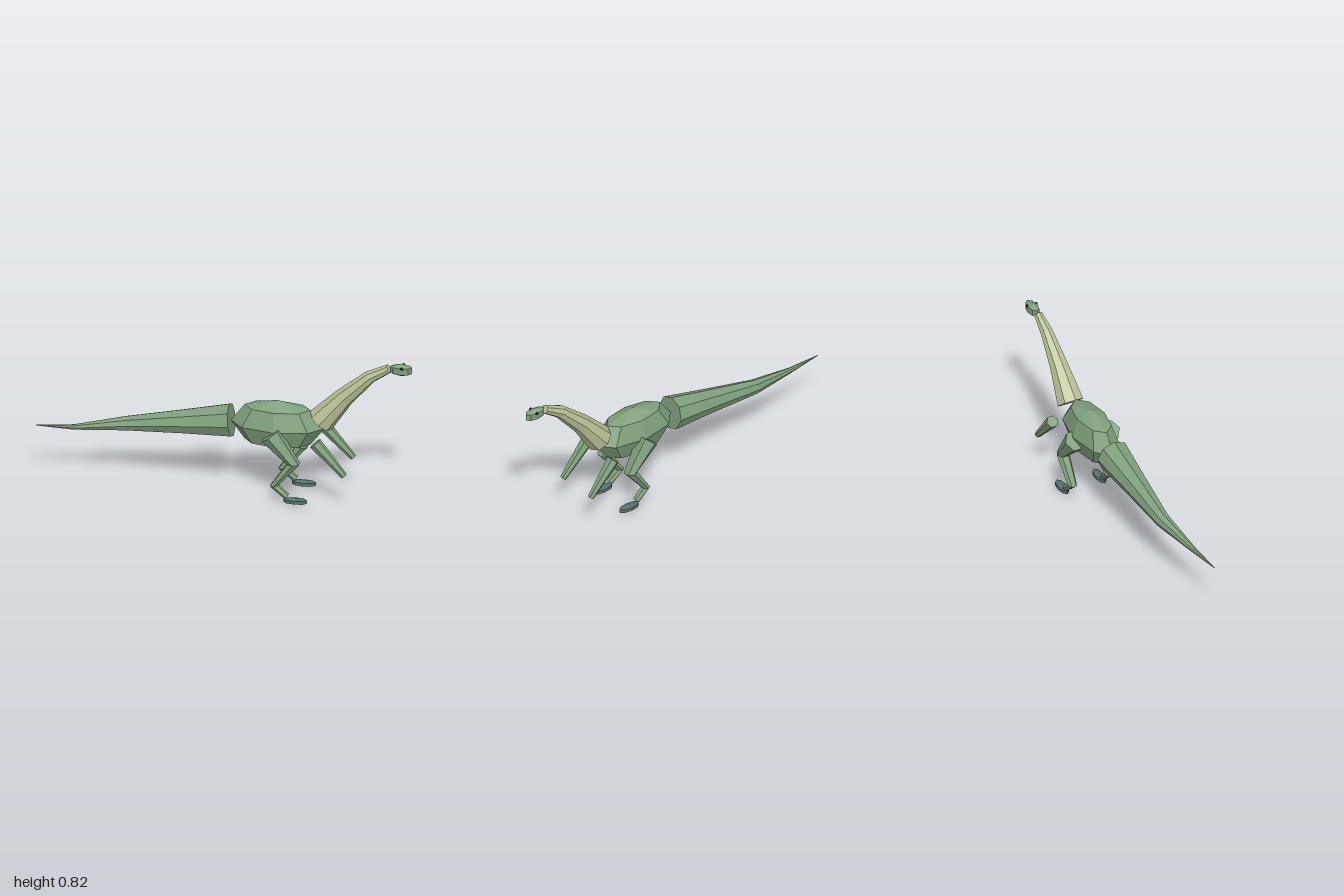
import * as THREE from 'three';

const material = (name, color) => {
  const m = new THREE.MeshStandardMaterial({ color, flatShading: true });
  m.name = name;
  return m;
};

// Capped faceted tube through rings given as [x, y, z, radius]
function limb(rings, sides) {
  const centres = rings.map(r => new THREE.Vector3(r[0], r[1], r[2]));
  const last = rings.length - 1;
  const positions = [], index = [];
  centres.forEach((c, i) => {
    // Ring plane follows the bisector of the neighbouring segments
    const t = new THREE.Vector3();
    if (i > 0) t.add(c.clone().sub(centres[i - 1]).normalize());
    if (i < last) t.add(centres[i + 1].clone().sub(c).normalize());
    t.normalize();
    const s = new THREE.Vector3(0, 0, 1).addScaledVector(t, -t.z).normalize();
    const n = t.clone().cross(s);
    for (let j = 0; j < sides; j++) {
      const a = j / sides * Math.PI * 2, r = rings[i][3];
      const p = c.clone().addScaledVector(s, r * Math.cos(a)).addScaledVector(n, r * Math.sin(a));
      positions.push(p.x, p.y, p.z);
    }
  });
  const start = positions.length / 3, end = start + 1;
  positions.push(...centres[0].toArray(), ...centres[last].toArray());
  for (let j = 0; j < sides; j++) {
    const k = (j + 1) % sides;
    for (let i = 0; i < last; i++) {
      const a = i * sides + j, b = i * sides + k;
      index.push(a, b, a + sides, b, b + sides, a + sides);
    }
    index.push(start, k, j, end, last * sides + j, last * sides + k);
  }
  const g = new THREE.BufferGeometry();
  g.setAttribute('position', new THREE.Float32BufferAttribute(positions, 3));
  g.setIndex(index);
  const flat = g.toNonIndexed();
  flat.computeVertexNormals();
  return flat;
}

// Low-poly ellipsoid
function blob(rx, ry, rz, sides, rows) {
  return new THREE.SphereGeometry(1, sides, rows).scale(rx, ry, rz);
}

export function createModel() {
  const model = new THREE.Group();
  model.name = 'longNeckedDinosaur';
  const skin = material('skinGreen', 0x7f9f7c);
  const cream = material('neckCream', 0xbac096);
  const claw = material('footBlueGrey', 0x587070);
  const dark = material('eyeDark', 0x26343a);

  const add = (name, geometry, mat, x = 0, y = 0, z = 0) => {
    const mesh = new THREE.Mesh(geometry, mat);
    mesh.name = name;
    mesh.position.set(x, y, z);
    model.add(mesh);
  };

  // Trunk, tail, neck and head
  add('body', blob(0.25, 0.14, 0.11, 8, 4), skin, 0.28, 0.4, 0);
  add('tail', limb([
    [0.033, 0.4, 0, 0.092], [-0.22, 0.366, 0, 0.067], [-0.53, 0.323, 0, 0.04],
    [-0.8, 0.291, 0.037, 0.015], [-1, 0.29, 0.055, 0.002]
  ], 8), skin);
  add('neck', limb([
    [0.512, 0.447, 0, 0.075], [0.638, 0.597, 0, 0.052],
    [0.775, 0.728, 0, 0.035], [0.875, 0.785, 0, 0.024]
  ], 8), cream);
  add('head', blob(0.067, 0.036, 0.032, 8, 3), skin, 0.941, 0.784, 0);

  // Mirrored eyes, arms, legs and feet
  for (const side of [1, -1]) {
    const label = side > 0 ? 'front' : 'back';
    add(label + 'Eye', blob(0.009, 0.009, 0.007, 6, 4), dark, 0.948, 0.802, side * 0.027);
    add(label + 'Arm', limb([
      [0.505, 0.365, side * 0.11, 0.034], [0.66, 0.192, side * 0.115, 0.017]
    ], 6), skin);
    add(label + 'Leg', limb([
      [0.265, 0.385, side * 0.1, 0.06], [0.388, 0.234, side * 0.11, 0.036],
      [0.285, 0.098, side * 0.108, 0.025], [0.352, 0.04, side * 0.11, 0.018]
    ], 6), skin);
    add(label + 'Foot', blob(0.073, 0.018, 0.029, 8, 3), claw, 0.397, 0.018, side * 0.11);
  }
  return model;
}
